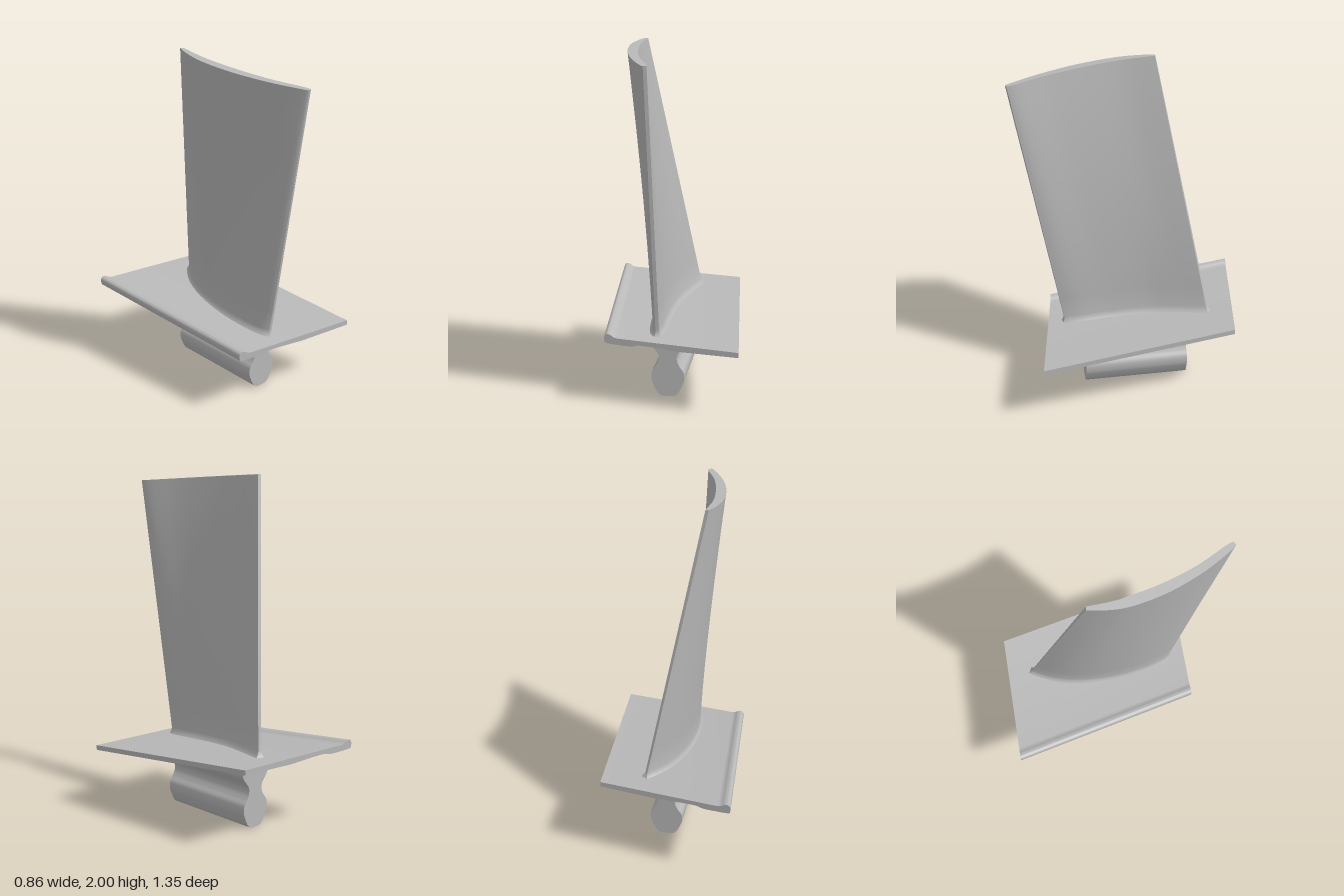
import * as THREE from 'three';
import { toCreasedNormals } from 'three/addons/utils/BufferGeometryUtils.js';

const STEPS = 24; // samples along each side of the airfoil

// Samples a smooth line through a few [a, b] points
function sample(points, count) {
  return new THREE.SplineCurve(points.map(([a, b]) => new THREE.Vector2(a, b))).getPoints(count);
}

// Closed airfoil outline in (x, z): convex side front-ward, concave side back again
function airfoil(convex, concave) {
  return [...sample(convex, STEPS), ...sample(concave, STEPS)];
}

// Extrudes an outline by one unit, then moves every vertex by a rule
function sweep(outline, steps, rule) {
  const geometry = new THREE.ExtrudeGeometry(new THREE.Shape(outline), { depth: 1, steps, bevelEnabled: false });
  const position = geometry.attributes.position;
  const v = new THREE.Vector3();
  for (let i = 0; i < position.count; i++) {
    rule(v.fromBufferAttribute(position, i));
    position.setXYZ(i, v.x, v.y, v.z);
  }
  return toCreasedNormals(geometry, 0.6);
}

// Leaning, twisted airfoil lofted from root to tip, with a small flare at its foot
function bladeGeometry() {
  const foot = airfoil(
    [[0.09, -0.455], [0.005, -0.33], [-0.058, -0.16], [-0.09, 0.05], [-0.09, 0.22], [-0.072, 0.35], [-0.05, 0.398]],
    [[-0.03, 0.395], [-0.02, 0.3], [-0.016, 0.1], [0.008, -0.12], [0.05, -0.28], [0.103, -0.445]]);
  const tip = airfoil(
    [[-0.2, -0.165], [-0.228, -0.07], [-0.243, 0.06], [-0.22, 0.27], [-0.16, 0.48], [-0.085, 0.65], [-0.065, 0.675]],
    [[-0.047, 0.668], [-0.058, 0.62], [-0.12, 0.45], [-0.165, 0.25], [-0.19, 0.03], [-0.181, -0.16]]);
  const n = foot.length;
  const rows = [[0, 0.024], [0.008, 0.014], [0.016, 0.005], [0.028, 0]];
  for (let k = 1; k <= 12; k++) rows.push([0.028 + 0.972 * k / 12, 0]);

  const positions = [], index = [];
  for (const [t, flare] of rows) {
    const ring = foot.map((p, i) => p.clone().lerp(tip[i], t));
    ring.forEach((p, i) => {
      const along = ring[(i + 1) % n].clone().sub(ring[(i + n - 1) % n]).normalize();
      const x = p.x - along.y * flare, z = p.y + along.x * flare;
      positions.push(x, THREE.MathUtils.lerp(0.424 - 0.08 * z, 1.986 - 0.0893 * z, t), z);
    });
  }
  for (let r = 0; r < rows.length - 1; r++) {
    for (let i = 0; i < n; i++) {
      const a = r * n + i, b = r * n + (i + 1) % n;
      index.push(a, b, b + n, a, b + n, a + n);
    }
  }
  // Tip cap, stitched between the two sides
  const top = (rows.length - 1) * n;
  for (let i = 0; i < STEPS; i++) {
    const a = top + i, d = top + n - 1 - i;
    index.push(a, a + 1, d - 1, a, d - 1, d);
  }
  const geometry = new THREE.BufferGeometry();
  geometry.setAttribute('position', new THREE.Float32BufferAttribute(positions, 3));
  geometry.setIndex(index);
  return toCreasedNormals(geometry, 0.6);
}

// Skewed, sloping plate with a raised lip along its right edge
function platformGeometry() {
  const lip = sample([[-0.255, 0.395], [-0.275, 0.399], [-0.295, 0.411], [-0.315, 0.416], [-0.33, 0.405],
    [-0.333, 0.385], [-0.328, 0.364]], 20);
  const underside = sample([[-0.3, 0.36], [-0.18, 0.357], [-0.13, 0.367], [-0.03, 0.364], [0.1, 0.355]], 16);
  const corners = [new THREE.Vector2(0.43, 0.356), new THREE.Vector2(0.43, 0.385)];
  return sweep([...lip, ...underside, ...corners], 1, (v) => {
    const back = 1 - v.z;
    v.z = 0.455 + (v.x + 0.33) * 0.151 - 1.13 * back;
    v.x -= 0.1 * back;
    v.y += 0.093 * back;
  });
}

// Waisted root block, its top cut to the slope of the platform
function rootGeometry() {
  const side = sample([[0.033, 0], [0.058, 0.018], [0.08, 0.06], [0.094, 0.1], [0.092, 0.145], [0.068, 0.18],
    [0.053, 0.215], [0.055, 0.25], [0.08, 0.285], [0.1, 0.315], [0.104, 0.345], [0.104, 0.395]], 44);
  const mirrored = side.map((p) => new THREE.Vector2(-p.x, p.y)).reverse();
  return sweep([...side, ...mirrored], 1, (v) => {
    v.z = -0.33 + 0.62 * v.z;
    if (v.y > 0.39) v.y = 0.418 - 0.08 * v.z;
  });
}

export function createModel() {
  const metal = new THREE.MeshStandardMaterial({ color: 0xb8b8b8 });
  metal.name = 'grey metal';

  const model = new THREE.Group();
  model.name = 'turbineBlade';
  const parts = { airfoil: bladeGeometry(), platform: platformGeometry(), root: rootGeometry() };
  for (const [name, geometry] of Object.entries(parts)) {
    const mesh = new THREE.Mesh(geometry, metal);
    mesh.name = name;
    model.add(mesh);
  }
  return model;
}
